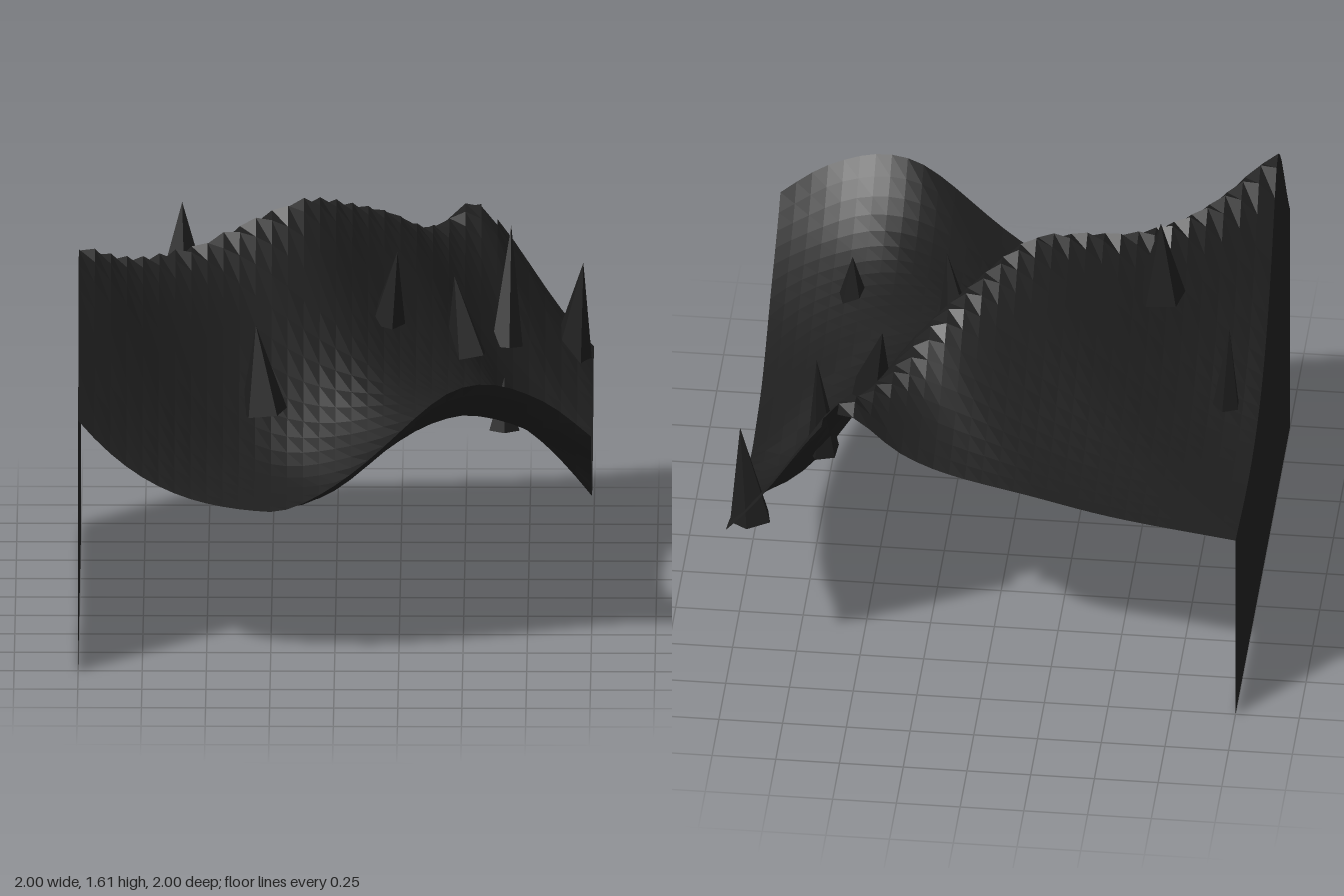
import * as THREE from 'three';

const N = 32; // terrain cells per side

const terrainMaterial = new THREE.MeshStandardMaterial({ color: 0x1f1f1f, side: THREE.DoubleSide, flatShading: true });
terrainMaterial.name = 'charcoal rock';
const spikeMaterial = new THREE.MeshStandardMaterial({ color: 0x1d1d1d, flatShading: true });
spikeMaterial.name = 'dark spike';

// smooth curve through [position, value] pairs
function curve(points) {
  const c = new THREE.CubicInterpolant(points.map(p => p[0]), points.map(p => p[1]), 1);
  return t => c.evaluate(t)[0];
}

// sections along the diagonal v = x - z: ridge line, ridge height, front width, valley, basin, far slope
const ridgeLine = curve([[-1.5, -0.47], [-1, -0.45], [-0.6, -0.4], [-0.3, -0.32], [0, -0.25], [0.5, -0.27],
  [1, -0.32], [1.35, -0.4], [1.6, -0.45]]);
const crest = curve([[-2, 1.57], [-1.5, 1.59], [-1.25, 1.52], [-1, 1.48], [-0.6, 1.49], [-0.3, 1.55], [0, 1.59],
  [0.4, 1.51], [0.7, 1.43], [1, 1.32], [1.3, 1.3], [1.5, 1.33], [2, 0.95]]);
const frontWidth = curve([[-2, 0.49], [-0.73, 0.48], [0, 0.4], [0.25, 0.4], [0.75, 0.52], [1.3, 0.54], [2, 0.61]]);
const valley = curve([[-2, 0.66], [-1.2, 0.64], [-0.85, 0.66], [-0.5, 0.77], [-0.15, 0.88], [0.1, 0.89],
  [0.4, 0.83], [0.8, 0.66], [1.1, 0.48], [1.5, 0.45], [2, 0.45]]);
const basin = curve([[-1.5, 0.74], [-0.5, 0.75], [0, 0.81], [0.5, 0.86], [1, 0.92], [1.5, 0.9]]);
const farSlope = curve([[-1.2, 0.78], [-0.6, 0.74], [-0.2, 0.27], [0, 0.06], [0.4, -0.2], [0.78, -0.57], [1.2, -0.7]]);

// ridge across the diagonal, a basin behind it, a valley and hill in front
function height(x, z) {
  const u = x + z, v = x - z, line = ridgeLine(v), d = u - line;
  const top = crest(v);
  if (d < 0) {
    const low = basin(v), width = 0.42 + 0.8 * (line + 0.45);
    return low + (top - low) * Math.exp(-((-d / width) ** 1.3));
  }
  const low = valley(v), s = Math.max(0, u - 0.75);
  return low + (top - low) * Math.exp(-((d / frontWidth(v)) ** 1.7)) + s * s / (s + 0.2) * farSlope(v);
}

function surface(name, positions, index) {
  const g = new THREE.BufferGeometry();
  g.setAttribute('position', new THREE.Float32BufferAttribute(positions, 3));
  g.setIndex(index);
  const flat = g.toNonIndexed();
  flat.computeVertexNormals();
  const mesh = new THREE.Mesh(flat, terrainMaterial);
  mesh.name = name;
  return mesh;
}

// height field, with one open cell on the back edge
function makeTerrain() {
  const pos = [], index = [];
  for (let j = 0; j <= N; j++) {
    for (let i = 0; i <= N; i++) {
      const x = -1 + 2 * i / N, z = -1 + 2 * j / N;
      pos.push(x, height(x, z), z);
      if (i === N || j === N || (i === 25 && j === 0)) continue;
      const a = j * (N + 1) + i, b = a + N + 1;
      index.push(a, b, b + 1, a, b + 1, a + 1);
    }
  }
  return surface('terrain', pos, index);
}

// upright skirt below the x = -1 edge
function makeWall() {
  const pos = [], index = [];
  for (let j = 0; j <= N; j++) {
    const z = -1 + 2 * j / N;
    pos.push(-1, 0, z, -1, height(-1, z), z);
    if (j < N) index.push(2 * j, 2 * j + 2, 2 * j + 3, 2 * j, 2 * j + 3, 2 * j + 1);
  }
  return surface('sideWall', pos, index);
}

// five-sided spike leaning from its base centre to its tip
function makeSpike(base, tip, radius, turn) {
  const from = new THREE.Vector3(...base);
  const axis = new THREE.Vector3(...tip).sub(from);
  const length = axis.length();
  const g = new THREE.ConeGeometry(radius, length, 5);
  g.translate(0, length / 2, 0);
  g.rotateY(turn);
  const mesh = new THREE.Mesh(g, spikeMaterial);
  mesh.quaternion.setFromUnitVectors(new THREE.Vector3(0, 1, 0), axis.normalize());
  mesh.position.copy(from);
  mesh.name = 'rockSpike';
  return mesh;
}

export function createModel() {
  const model = new THREE.Group();
  model.name = 'rockyTerrain';
  model.add(makeTerrain(), makeWall());

  const spikes = new THREE.Group();
  spikes.name = 'rockSpikes';
  [
    [[-0.28, 0.89, 0.44], [-0.31, 1.24, 0.44], 0.095, 0.6],
    [[0.2, 1.11, -0.05], [0.24, 1.41, 0], 0.07, 0.3],
    [[0.51, 0.91, -0.24], [0.46, 1.22, -0.3], 0.085, 0.9],
    [[0.66, 0.85, -0.59], [0.68, 1.32, -0.66], 0.065, 0.2],
    [[0.91, 0.71, -0.89], [0.96, 1.11, -0.85], 0.085, 0.5],
    [[0.66, 0.83, 0.48], [0.66, 1.04, 0.47], 0.062, 0],
    [[-0.6, 1.27, 0], [-0.6, 1.61, 0], 0.1, 0.1],
    [[-0.88, 0.91, -0.2], [-0.89, 1.27, -0.2], 0.055, 0.4],
  ].forEach(s => spikes.add(makeSpike(...s)));
  model.add(spikes);
  return model;
}
